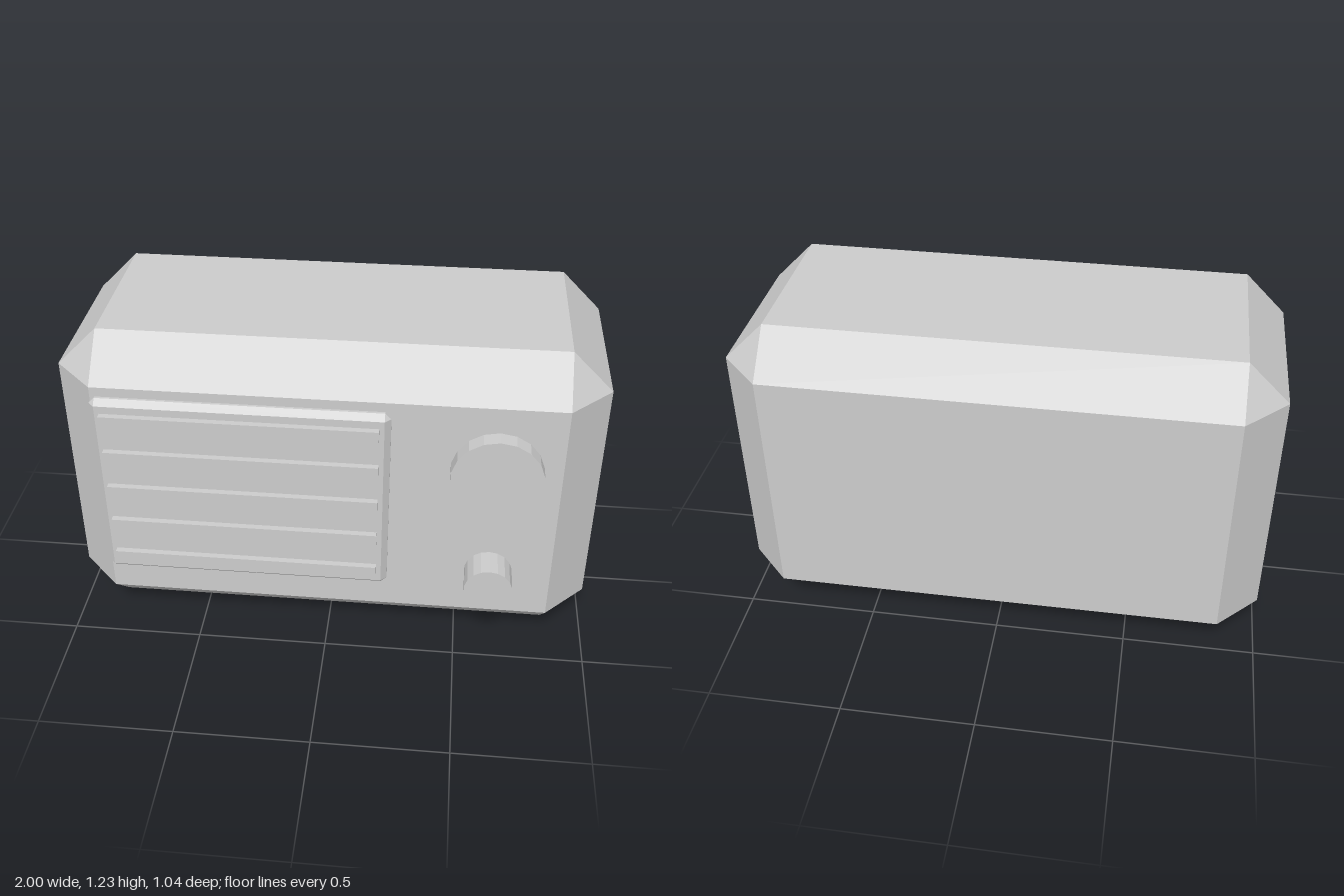
import * as THREE from 'three';
import { ConvexGeometry } from 'three/addons/geometries/ConvexGeometry.js';

const grey = new THREE.MeshStandardMaterial({ color: 0xcccccc, flatShading: true });
grey.name = 'light grey';

// Box with every edge cut at 45 degrees and a triangle at each corner
function chamferedBox(w, h, d, c) {
  const points = [];
  for (const sx of [-1, 1]) for (const sy of [-1, 1]) for (const sz of [-1, 1]) {
    const x = w / 2, y = h / 2, z = d / 2;
    points.push(
      new THREE.Vector3(sx * x, sy * (y - c), sz * (z - c)),
      new THREE.Vector3(sx * (x - c), sy * y, sz * (z - c)),
      new THREE.Vector3(sx * (x - c), sy * (y - c), sz * z)
    );
  }
  return new ConvexGeometry(points);
}

export function createModel() {
  const model = new THREE.Group();
  model.name = 'radio';

  const add = (name, geometry, x, y, z) => {
    const mesh = new THREE.Mesh(geometry, grey);
    mesh.name = name;
    mesh.position.set(x, y, z);
    model.add(mesh);
  };

  const front = 0.405;
  const back = -0.52;

  // Casing
  add('casing', chamferedBox(2, 1.23, front - back, 0.153), 0, 0.615, (front + back) / 2);

  // Speaker panel, half sunk into the casing
  add('speakerPanel', chamferedBox(1.08, 0.77, 0.08, 0.022), -0.31, 0.655, 0.397);

  // Horizontal speaker slats
  for (let i = 0; i < 5; i++) {
    add('speakerSlat', new THREE.BoxGeometry(1, 0.045, 0.04), -0.31, 0.35 + i * 0.154, 0.44);
  }

  // Tuning and volume knobs
  const knob = (name, radius, y, tip) => {
    const depth = tip - front + 0.02;
    const geometry = new THREE.CylinderGeometry(radius, radius, depth, 18).rotateX(Math.PI / 2);
    add(name, geometry, 0.612, y, tip - depth / 2);
  };
  knob('tuningKnob', 0.168, 0.81, 0.467);
  knob('volumeKnob', 0.09, 0.35, 0.52);

  return model;
}
